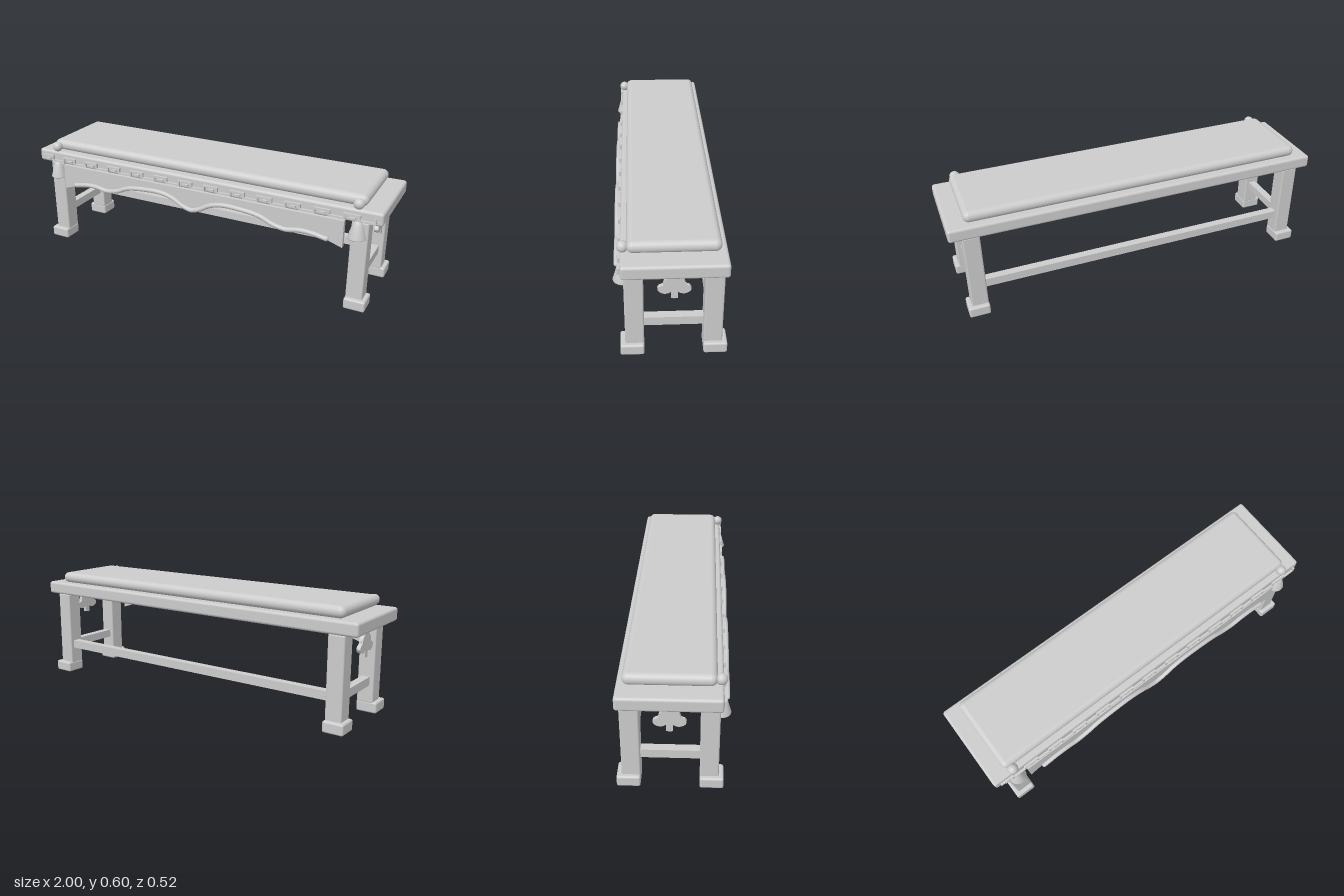
import * as THREE from 'three';
import { RoundedBoxGeometry } from 'three/addons/geometries/RoundedBoxGeometry.js';

const paint = new THREE.MeshStandardMaterial({ color: 0xcccccc });
paint.name = 'paleGrey';

export function createModel() {
  const bench = new THREE.Group();
  bench.name = 'bench';

  function add(name, geometry) {
    const mesh = new THREE.Mesh(geometry, paint);
    mesh.name = name;
    bench.add(mesh);
    return mesh;
  }
  // Box given by its limits, rounded when a radius is set
  function box(name, [x0, x1], [y0, y1], [z0, z1], radius = 0, segments = 3) {
    const w = x1 - x0, h = y1 - y0, d = z1 - z0;
    const g = radius ? new RoundedBoxGeometry(w, h, d, segments, radius) : new THREE.BoxGeometry(w, h, d);
    g.translate((x0 + x1) / 2, (y0 + y1) / 2, (z0 + z1) / 2);
    return add(name, g);
  }
  const span = (s, a, b) => (s > 0 ? [a, b] : [-b, -a]);

  // Seat board and padded cushion
  box('seatBoard', [-1, 1], [0.472, 0.541], [-0.248, 0.225], 0.014);
  box('cushion', [-0.915, 0.912], [0.541, 0.6], [-0.22, 0.196], 0.029, 5);

  for (const s of [-1, 1]) {
    // Legs with block feet
    box('frontLeg', span(s, 0.848, 0.934), [0.05, 0.473], [0.125, 0.213], 0.008, 2);
    box('backLeg', span(s, 0.848, 0.934), [0.05, 0.473], [-0.236, -0.148], 0.008, 2);
    box('frontFoot', span(s, 0.846, 0.955), [0, 0.058], [0.125, 0.236], 0.01);
    box('backFoot', span(s, 0.846, 0.955), [0, 0.058], [-0.259, -0.148], 0.01);
    box('sideStretcher', span(s, 0.87, 0.912), [0.144, 0.189], [-0.15, 0.127]);

    // Cushion knob and its neck
    add('cushionKnob', new THREE.SphereGeometry(0.027, 24, 16)).position.set(s * 0.877, 0.567, 0.213);
    const neck = add('knobNeck', new THREE.CylinderGeometry(0.012, 0.012, 0.04, 16));
    neck.rotation.x = Math.PI / 2;
    neck.position.set(s * 0.877, 0.57, 0.19);

    // Bell-shaped tassel at the head of the front leg
    const bell = [[0, 0.39], [0.044, 0.39], [0.045, 0.394], [0.036, 0.425], [0.026, 0.46], [0.015, 0.479], [0, 0.483]];
    add('tassel', new THREE.LatheGeometry(bell.map(([x, y]) => new THREE.Vector2(x, y)), 24))
      .position.set(s * 0.88, 0, 0.215);
  }
  box('backStretcher', [-0.85, 0.85], [0.144, 0.189], [-0.213, -0.171]);

  // Scalloped apron: the wave is mirrored about the middle
  const wave = [[0, 0.364], [0.05, 0.378], [0.11, 0.411], [0.18, 0.428], [0.28, 0.427], [0.39, 0.412],
    [0.46, 0.383], [0.53, 0.37], [0.6, 0.381], [0.66, 0.38], [0.74, 0.366]];
  const path = [...wave.slice(1).reverse().map(([x, y]) => [-x, y]), ...wave];
  const apron = new THREE.Shape();
  apron.moveTo(-0.823, 0.475);
  apron.lineTo(-0.823, 0.333);
  apron.lineTo(-0.74, 0.36);
  apron.splineThru(path.slice(1).map(([x, y]) => new THREE.Vector2(x, y - 0.006)));
  apron.lineTo(0.82, 0.333);
  apron.lineTo(0.82, 0.475);
  add('apron', new THREE.ExtrudeGeometry(apron, { depth: 0.025, bevelEnabled: false, curveSegments: 80 }))
    .position.z = 0.215;

  // Rounded moulding following the scallops, with closed ends
  const curve = new THREE.CatmullRomCurve3(path.map(([x, y]) => new THREE.Vector3(x, y + 0.002, 0.247)));
  add('apronMoulding', new THREE.TubeGeometry(curve, 120, 0.0125, 10));
  for (const s of [-1, 1]) {
    add('mouldingEnd', new THREE.SphereGeometry(0.0125, 12, 8)).position.set(s * 0.74, 0.368, 0.247);
  }

  // Stepped fret ribbon along the front edge of the seat
  const steps = 13, pitch = 1.94 / steps, t = 0.009;
  const z = [0.22, 0.237];
  for (let i = 0; i < steps; i++) {
    const x = -0.97 + i * pitch, mid = x + pitch * 0.5, end = x + pitch;
    box('fretTop', [x, mid], [0.507, 0.516], z);
    box('fretDrop', [mid - t, mid], [0.483, 0.507], z);
    box('fretBottom', [mid, end], [0.483, 0.492], z);
    box('fretRise', [end - t, end], [0.492, 0.516], z);
    box('fretHook', [x + 0.022, x + 0.05], [0.49, 0.499], z);
  }

  // Trefoil plates hanging under both ends
  const leaf = new THREE.Shape();
  leaf.moveTo(-0.015, 0.329);
  leaf.quadraticCurveTo(0, 0.325, 0.015, 0.329);
  leaf.lineTo(0.015, 0.364);
  leaf.bezierCurveTo(0.03, 0.35, 0.05, 0.352, 0.06, 0.359);
  leaf.quadraticCurveTo(0.072, 0.366, 0.075, 0.378);
  leaf.quadraticCurveTo(0.07, 0.394, 0.058, 0.395);
  leaf.lineTo(0.049, 0.402);
  leaf.bezierCurveTo(0.049, 0.425, 0.035, 0.435, 0.025, 0.438);
  leaf.lineTo(0.025, 0.459);
  leaf.quadraticCurveTo(0.012, 0.473, 0, 0.473);
  leaf.quadraticCurveTo(-0.012, 0.473, -0.025, 0.459);
  leaf.lineTo(-0.025, 0.438);
  leaf.bezierCurveTo(-0.035, 0.435, -0.049, 0.425, -0.049, 0.402);
  leaf.lineTo(-0.058, 0.395);
  leaf.quadraticCurveTo(-0.07, 0.394, -0.075, 0.378);
  leaf.quadraticCurveTo(-0.072, 0.366, -0.06, 0.359);
  leaf.bezierCurveTo(-0.05, 0.352, -0.03, 0.35, -0.015, 0.364);
  for (const s of [-1, 1]) {
    const g = new THREE.ExtrudeGeometry(leaf, { depth: 0.02, bevelEnabled: false, curveSegments: 8 });
    g.translate(0, 0, -0.01);
    g.rotateY(-Math.PI / 2);
    add('trefoilPlate', g).position.set(s * 0.935, 0, -0.011);
  }

  return bench;
}
